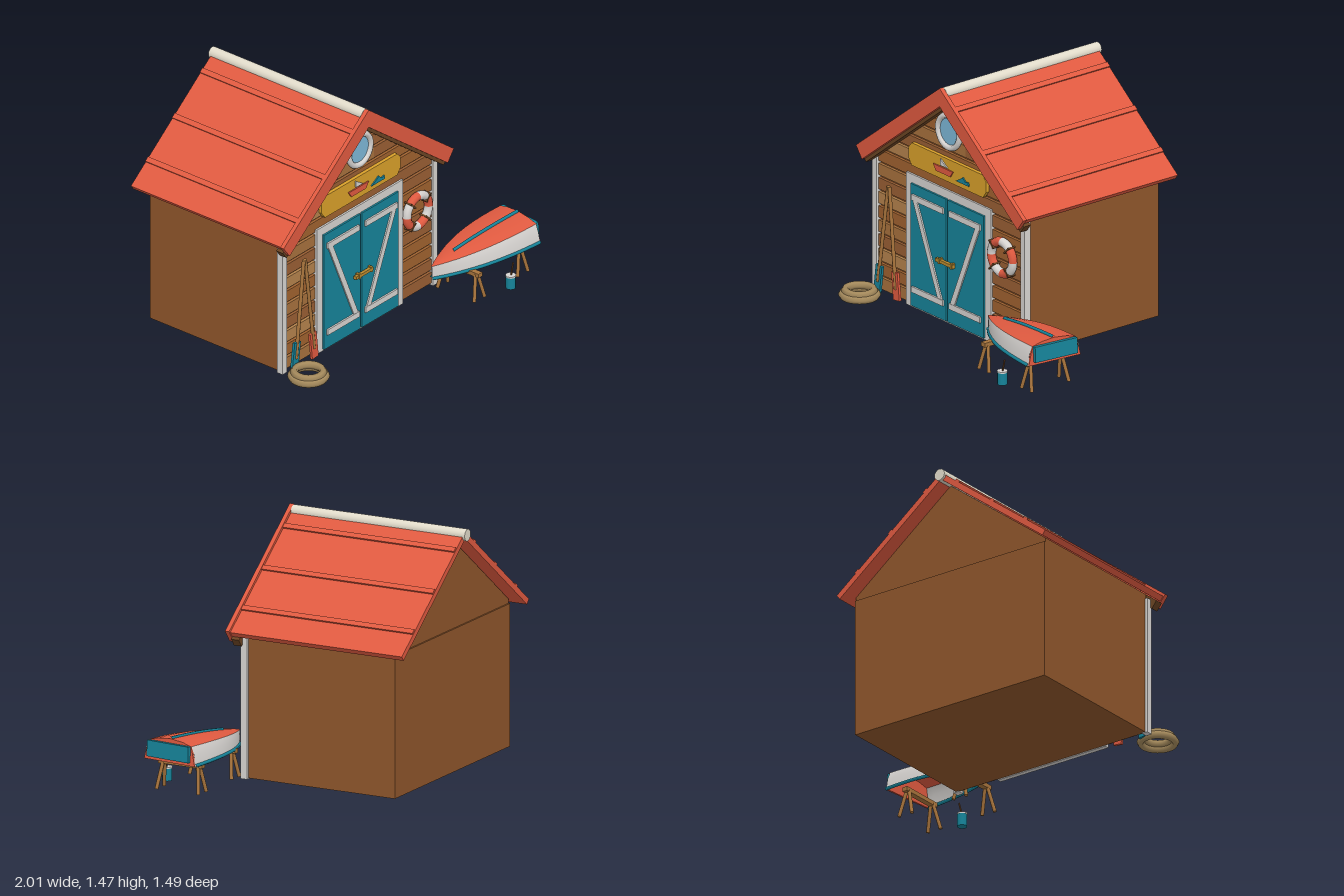
import * as THREE from 'three';

const C = { red: 0xe05a40, teal: 0x16849a, white: 0xd8d5d2, ochre: 0xd9a02a, glass: 0x7db8d8, wall: 0x8f562b,
  dark: 0x6b4423, pole: 0xa8743c, rope: 0xa58a5c, cream: 0xe2dccb, brass: 0xb98a2e };
const SLOPE = 0.765, COS = 0.794, SIN = 0.608; // roof pitch

const mat = (color, extra = {}) => {
  const m = new THREE.MeshStandardMaterial(extra);
  m.color.set(color);
  return m;
};

function add(parent, name, geo, color, pos = [0, 0, 0], rot = [0, 0, 0], extra) {
  const m = new THREE.Mesh(geo, mat(color, extra));
  m.name = name;
  m.position.set(...pos);
  m.rotation.set(...rot);
  parent.add(m);
  return m;
}
const box = (p, name, size, color, pos, rot) => add(p, name, new THREE.BoxGeometry(...size), color, pos, rot);

// Flat outline extruded from z0 to z1
function slab(parent, name, pts, z0, z1, color) {
  const shape = new THREE.Shape(pts.map(([x, y]) => new THREE.Vector2(x, y)));
  const geo = new THREE.ExtrudeGeometry(shape, { depth: z1 - z0, bevelEnabled: false });
  return add(parent, name, geo, color, [0, 0, z0]);
}

// Round bar between two points
function rod(parent, name, a, b, r, color, sides = 8) {
  const A = new THREE.Vector3(...a), B = new THREE.Vector3(...b), d = B.clone().sub(A);
  const m = add(parent, name, new THREE.CylinderGeometry(r, r, d.length(), sides), color);
  m.position.copy(A).add(B).multiplyScalar(0.5);
  m.quaternion.setFromUnitVectors(new THREE.Vector3(0, 1, 0), d.normalize());
  return m;
}

// Inverted V following the roof pitch
function chevron(parent, name, apex, half, t, z0, z1, color) {
  const ey = apex - SLOPE * half;
  slab(parent, name, [[0, apex], [-half, ey], [-half + t * SIN, ey - t * COS], [0, apex - t / COS],
    [half - t * SIN, ey - t * COS], [half, ey]], z0, z1, color);
}

// Surface through rows of points
function loft(rows) {
  const n = rows[0].length, idx = [];
  for (let i = 0; i < rows.length - 1; i++) for (let j = 0; j < n - 1; j++) {
    const a = i * n + j, b = a + n;
    idx.push(a, b, a + 1, b, b + 1, a + 1);
  }
  const g = new THREE.BufferGeometry();
  g.setAttribute('position', new THREE.Float32BufferAttribute(rows.flat(2), 3));
  g.setIndex(idx);
  g.computeVertexNormals();
  return g;
}

function buildHouse() {
  const g = new THREE.Group();
  g.name = 'house';
  g.position.x = -0.235;
  box(g, 'walls', [1.36, 0.85, 0.975], C.wall, [0, 0.43, -0.1575]);
  slab(g, 'gable', [[-0.68, 0.85], [0.68, 0.85], [0.68, 0.88], [0, 1.4], [-0.68, 0.88]], -0.635, 0.33, C.wall);

  // Front cladding, boards clipped by the gable
  const woods = [0xa8713d, 0x9a5f33, 0xb5834c, 0xa0622f];
  const half = y => Math.max(0.005, Math.min(0.68, (1.38 - y) / SLOPE));
  for (let i = 0; i < 16; i++) {
    const y0 = 0.015 + i * 0.0875, y1 = Math.min(y0 + 0.071, 1.37);
    const split = ((i * 7) % 5 - 2) * 0.07;
    const h0 = half(y0), h1 = half(y1), s = Math.abs(split) < h1 ? split : 0;
    slab(g, 'frontBoard', [[-h0, y0], [s, y0], [s, y1], [-h1, y1]], 0.325, 0.348, woods[(i * 3) % 4]);
    slab(g, 'frontBoard', [[s, y0], [h0, y0], [h1, y1], [s, y1]], 0.325, 0.348, woods[(i * 3 + 1 + i % 2) % 4]);
  }
  for (const s of [-1, 1]) box(g, 'cornerPost', [0.04, 0.85, 0.042], C.white, [s * 0.677, 0.425, 0.34]);

  // Roof
  chevron(g, 'roof', 1.45, 0.75, 0.035, -0.73, 0.405, C.red);
  chevron(g, 'bargeBoard', 1.47, 0.765, 0.09, 0.4, 0.427, C.red);
  chevron(g, 'rafter', 1.4, 0.74, 0.055, 0.35, 0.4, C.dark);
  for (const s of [-1, 1]) for (const x of [0.115, 0.365, 0.605]) {
    box(g, 'roofSeam', [0.032, 0.018, 1.13], C.red, [s * x, 1.452 - SLOPE * x, -0.163], [0, 0, -s * Math.atan(SLOPE)]);
  }
  rod(g, 'ridgeCap', [0, 1.43, -0.745], [0, 1.43, 0.4], 0.036, C.cream, 16);

  // Double door with braces
  slab(g, 'doorFrame', [[-0.387, 0], [0.387, 0], [0.387, 0.82], [-0.387, 0.82]], 0.33, 0.36, C.white);
  for (const s of [-1, 1]) {
    box(g, 'door', [0.328, 0.755, 0.03], C.teal, [s * 0.171, 0.39, 0.357]);
    for (const y of [0.69, 0.12]) box(g, 'doorBrace', [0.285, 0.036, 0.014], C.white, [s * 0.171, y, 0.376]);
    box(g, 'doorDiagonal', [0.036, 0.59, 0.012], C.white, [s * 0.171, 0.405, 0.375], [0, 0, -s * 0.40]);
  }
  box(g, 'doorBar', [0.155, 0.02, 0.02], C.brass, [0, 0.38, 0.388]);
  for (const x of [-0.045, 0.065]) box(g, 'barBracket', [0.014, 0.032, 0.03], C.brass, [x, 0.38, 0.385]);

  // Round window
  add(g, 'windowRing', new THREE.TorusGeometry(0.098, 0.018, 8, 32), C.white, [0, 1.185, 0.358]);
  add(g, 'windowGlass', new THREE.CylinderGeometry(0.095, 0.095, 0.02, 32), C.glass, [0, 1.185, 0.347], [Math.PI / 2, 0, 0]);

  // Sign with a painted boat and wave
  slab(g, 'signBoard', [[-0.325, 0.88], [0.325, 0.88], [0.355, 0.92], [0.355, 0.985], [0.325, 1.02],
    [-0.325, 1.02], [-0.355, 0.985], [-0.355, 0.92]], 0.345, 0.37, C.ochre);
  slab(g, 'signHull', [[-0.095, 0.92], [0.035, 0.92], [0.06, 0.957], [-0.12, 0.957]], 0.368, 0.378, C.red);
  slab(g, 'signSail', [[-0.055, 0.965], [0.01, 0.965], [-0.055, 1.005]], 0.368, 0.378, C.white);
  slab(g, 'signWave', [[0.085, 0.912], [0.205, 0.912], [0.2, 0.935], [0.175, 0.93], [0.15, 0.952], [0.12, 0.932]], 0.368, 0.378, C.teal);
  return g;
}

function buildLifebuoy() {
  const g = new THREE.Group();
  g.name = 'lifebuoy';
  g.position.set(0.27, 0.565, 0.372);
  for (let i = 0; i < 8; i++) {
    add(g, 'buoySegment', new THREE.TorusGeometry(0.097, 0.027, 10, 6, Math.PI / 4), i % 2 ? C.white : C.red, [0, 0, 0], [0, 0, i * Math.PI / 4]);
  }
  for (let i = 0; i < 4; i++) {
    const a = Math.PI / 4 + i * Math.PI / 2;
    box(g, 'buoyStrap', [0.06, 0.01, 0.058], C.dark, [0.097 * Math.cos(a), 0.097 * Math.sin(a), 0], [0, 0, a]);
  }
  return g;
}

function buildBoat() {
  const g = new THREE.Group();
  g.name = 'upturnedBoat';
  g.position.set(0.275, 0.15, 0.475);
  g.rotation.set(0, -0.105, 0.055);
  const L = 0.695, N = 14;
  const w = t => 0.175 * (1 - Math.pow(1 - t, 2.5)) + 0.003;
  const h = t => 0.085 + 0.03 * t, rise = t => 0.026 * Math.sqrt(t);
  const sheer = t => 0.01 * Math.sin(Math.PI * t);
  const bottom = t => [[-0.84, 0], [-0.5, 0.65], [0, 1], [0.5, 0.65], [0.84, 0]]
    .map(([k, r]) => [t * L, sheer(t) + h(t) + r * rise(t), k * w(t)]);
  const ts = Array.from({ length: N + 1 }, (_, i) => i / N);
  const open = { side: THREE.DoubleSide };
  for (const s of [-1, 1]) {
    const side = ts.map(t => [[t * L, sheer(t), s * w(t)], [t * L, sheer(t) + h(t) * 0.6, s * w(t) * 0.95],
      [t * L, sheer(t) + h(t), s * w(t) * 0.84]]);
    add(g, 'hullSide', loft(side), C.white, [0, 0, 0], [0, 0, 0], open);
    const rim = new THREE.CatmullRomCurve3(ts.map(t => new THREE.Vector3(t * L, sheer(t) + 0.004, s * w(t))));
    add(g, 'gunwale', new THREE.TubeGeometry(rim, 24, 0.011, 6), C.teal);
  }
  add(g, 'hullBottom', loft(ts.map(bottom)), C.red, [0, 0, 0], [0, 0, 0], open);
  const keel = new THREE.CatmullRomCurve3([0.25, 0.5, 0.75, 1].map(t => new THREE.Vector3(t * L, sheer(t) + h(t) + rise(t), 0)));
  add(g, 'keel', new THREE.TubeGeometry(keel, 16, 0.011, 6), C.teal);

  // Stern panel and transom
  const end = [[-w(1), 0], [w(1), 0], ...bottom(1).reverse().map(p => [p[2], p[1]])];
  const stern = slab(g, 'sternPanel', end, 0, 0.012, C.red);
  stern.rotation.y = Math.PI / 2;
  stern.position.set(L - 0.008, 0, 0);
  box(g, 'transom', [0.03, 0.095, 0.29], C.teal, [L + 0.012, 0.068, 0]);
  return g;
}

function buildSawhorse(x) {
  const g = new THREE.Group();
  g.name = 'sawhorse';
  g.position.set(x, 0, 0.53);
  box(g, 'beam', [0.035, 0.026, 0.29], C.pole, [0, 0.163, 0]);
  for (const sx of [-1, 1]) for (const sz of [-1, 1]) {
    rod(g, 'leg', [sx * 0.008, 0.165, sz * 0.115], [sx * 0.046, 0.002, sz * 0.138], 0.011, C.pole);
  }
  return g;
}

export function createModel() {
  const root = new THREE.Group();
  root.name = 'boathouse';
  root.add(buildHouse(), buildLifebuoy(), buildBoat(), buildSawhorse(0.47), buildSawhorse(0.86));

  // Oars leaning together
  for (const [x, color] of [[-0.855, C.teal], [-0.672, C.red]]) {
    const top = -0.757 + Math.sign(x + 0.76) * 0.006;
    rod(root, 'oarShaft', [x + (top - x) * 0.12, 0.08, 0.39], [top, 0.69, 0.38], 0.011, C.pole);
    box(root, 'oarBlade', [0.056, 0.17, 0.016], color, [x + (top - x) * 0.13, 0.098, 0.385], [0, 0, -Math.atan((top - x) / 0.69)]);
  }

  // Coiled rope
  for (const [R, y] of [[0.1, 0.022], [0.083, 0.046]]) {
    add(root, 'ropeCoil', new THREE.TorusGeometry(R, 0.023, 6, 28), C.rope, [-0.87, y, 0.505], [Math.PI / 2, 0, 0]);
  }

  // Paint can with brush
  rod(root, 'paintCan', [0.695, 0, 0.715], [0.695, 0.078, 0.715], 0.029, C.teal, 16);
  rod(root, 'canRim', [0.695, 0.074, 0.715], [0.695, 0.083, 0.715], 0.031, C.white, 16);
  rod(root, 'brushHandle', [0.698, 0.08, 0.715], [0.717, 0.155, 0.715], 0.005, C.dark);
  return root;
}
